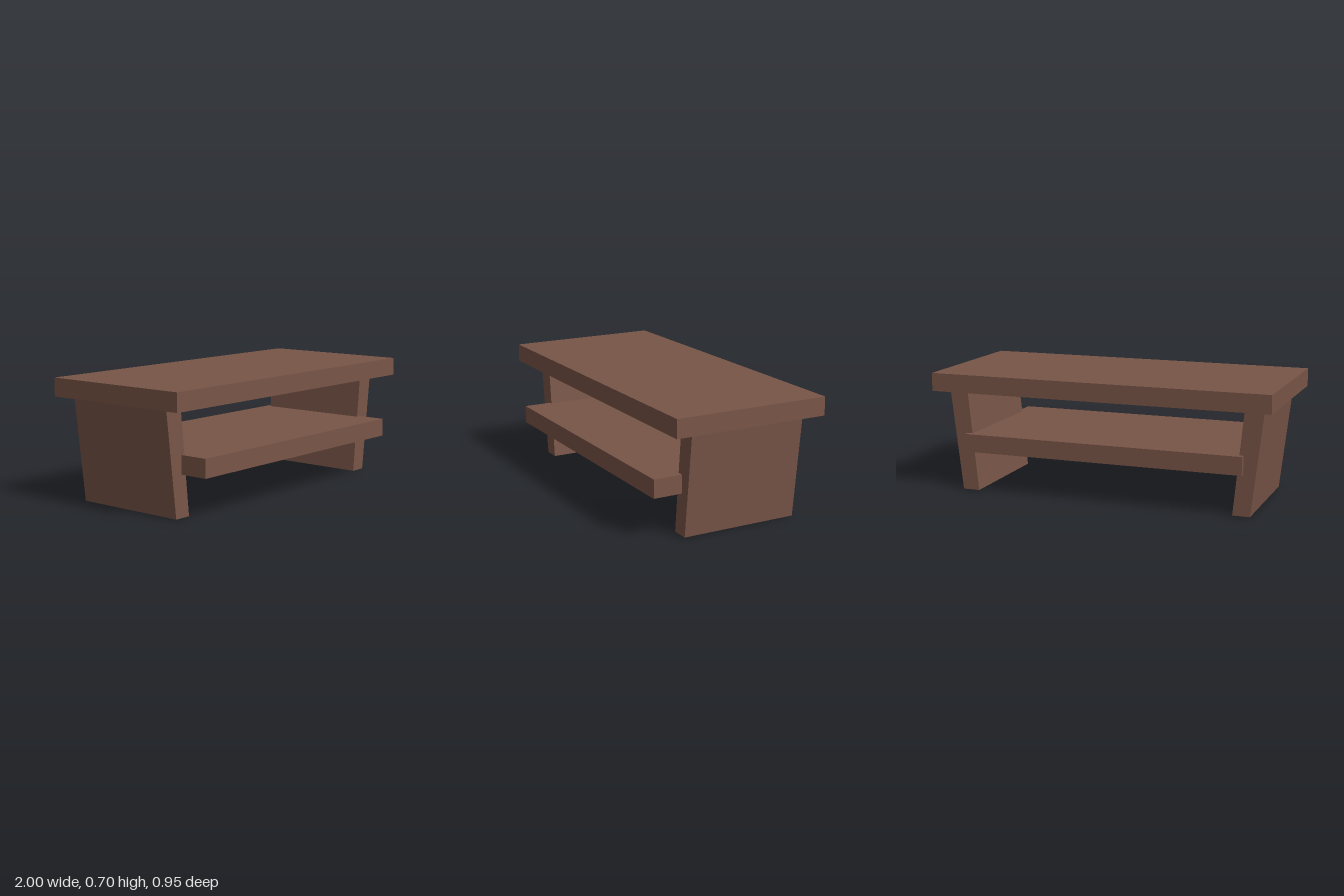
import * as THREE from 'three';

export function createModel() {
  const model = new THREE.Group();
  model.name = 'coffeeTable';
  const wood = new THREE.MeshStandardMaterial({ color: 0x795548 });
  wood.name = 'brown wood';

  function add(name, geometry, x, y, z) {
    const mesh = new THREE.Mesh(geometry, wood);
    mesh.name = name;
    mesh.position.set(x, y, z);
    model.add(mesh);
  }

  // Table top and the shelf, which sits slightly further forward
  add('tableTop', new THREE.BoxGeometry(2, 0.105, 0.91), 0, 0.647, -0.018);
  add('shelf', new THREE.BoxGeometry(1.66, 0.105, 0.885), 0, 0.287, 0.032);

  // Slab legs leaning outwards towards the top: a slanted outline extruded in depth
  for (const side of [1, -1]) {
    const outline = new THREE.Shape([
      [0.768, 0], [0.868, 0], [0.937, 0.595], [0.827, 0.595],
    ].map(([x, y]) => new THREE.Vector2(side * x, y)));
    const slab = new THREE.ExtrudeGeometry(outline, { depth: 0.687, bevelEnabled: false });
    add(side > 0 ? 'leftLeg' : 'rightLeg', slab, -0.005, 0, -0.38);
  }

  return model;
}
